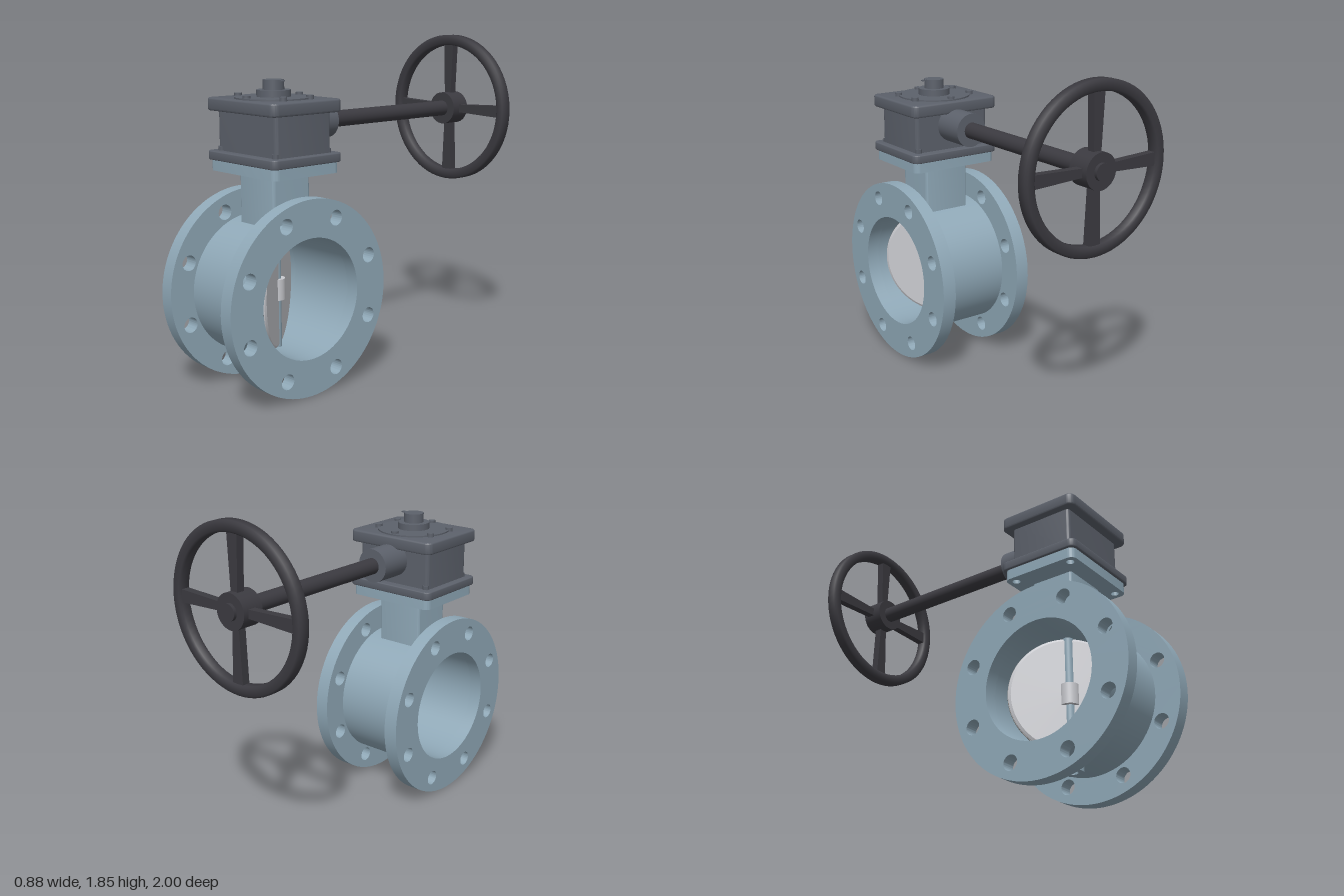
import * as THREE from 'three';
import { toCreasedNormals } from 'three/addons/utils/BufferGeometryUtils.js';

const CY = 0.53, CZ = 0.4725;   // pipe axis
const WY = 1.415;               // handwheel axis height

const material = (name, color) => {
  const m = new THREE.MeshStandardMaterial({ color });
  m.name = name;
  return m;
};

export function createModel() {
  const blue = material('blueGreyPaint', 0x8fa8b7);
  const grey = material('gearboxGrey', 0x5c616b);
  const black = material('handwheelBlack', 0x3b3a40);
  const silver = material('discSilver', 0xc9cacf);
  const rubber = material('sealGrey', 0x8c8a88);
  const model = new THREE.Group();
  model.name = 'butterflyValve';

  const add = (parent, name, geo, mat, x = 0, y = 0, z = 0) => {
    const mesh = new THREE.Mesh(geo, mat);
    mesh.name = name;
    mesh.position.set(x, y, z);
    parent.add(mesh);
    return mesh;
  };
  const circle = (x, y, r) => new THREE.Path().absarc(x, y, r, 0, Math.PI * 2, true);
  // Annulus with holes, extruded along z and centred
  const ring = (ro, ri, depth, holes = []) => {
    const s = new THREE.Shape().absarc(0, 0, ro, 0, Math.PI * 2, false);
    s.holes.push(circle(0, 0, ri), ...holes);
    const g = new THREE.ExtrudeGeometry(s, { depth, bevelEnabled: false, curveSegments: 48 });
    return toCreasedNormals(g.translate(0, 0, -depth / 2), 0.6);
  };
  // Rounded rectangular plate lying flat, from y0 to y1
  const plate = (hx, hz, y0, y1, r, bevel = 0, holes = []) => {
    const a = hx - bevel, b = hz - bevel;
    const s = new THREE.Shape();
    s.moveTo(-a + r, -b);
    s.lineTo(a - r, -b).absarc(a - r, -b + r, r, -Math.PI / 2, 0);
    s.lineTo(a, b - r).absarc(a - r, b - r, r, 0, Math.PI / 2);
    s.lineTo(-a + r, b).absarc(-a + r, b - r, r, Math.PI / 2, Math.PI);
    s.lineTo(-a, -b + r).absarc(-a + r, -b + r, r, Math.PI, Math.PI * 1.5);
    s.holes.push(...holes);
    const g = new THREE.ExtrudeGeometry(s, {
      depth: y1 - y0 - 2 * bevel, bevelEnabled: bevel > 0, bevelSize: bevel,
      bevelThickness: bevel, bevelSegments: 3, curveSegments: 8
    });
    return toCreasedNormals(g.rotateX(-Math.PI / 2).translate(0, y0 + bevel, 0), 0.6);
  };
  const cylY = (r, y0, y1, seg = 40) =>
    new THREE.CylinderGeometry(r, r, y1 - y0, seg).translate(0, (y0 + y1) / 2, 0);
  const cylZ = (r, z0, z1) =>
    new THREE.CylinderGeometry(r, r, z1 - z0, 40).rotateX(Math.PI / 2).translate(0, 0, (z0 + z1) / 2);

  // Pipe body and drilled flanges
  const body = new THREE.Group();
  body.name = 'valveBody';
  body.position.set(0, CY, CZ);
  model.add(body);
  add(body, 'barrel', ring(0.385, 0.325, 0.44).rotateY(Math.PI / 2), blue);
  const boltHoles = [];
  for (let i = 0; i < 8; i++) {
    const a = (i + 0.5) * Math.PI / 4;
    boltHoles.push(circle(0.443 * Math.cos(a), 0.443 * Math.sin(a), 0.042));
  }
  for (const s of [-1, 1])
    add(body, 'pipeFlange', ring(0.529, 0.325, 0.08, boltHoles).rotateY(Math.PI / 2), blue, s * 0.255);
  add(body, 'bottomBoss', ring(0.062, 0.032, 0.06).rotateX(Math.PI / 2), blue, 0, -0.39, 0);

  // Turning disc, partly open, on its stem
  const disc = new THREE.Group();
  disc.name = 'disc';
  disc.rotation.y = 0.66;
  body.add(disc);
  const discProfile = [[0, -0.02], [0.308, -0.02], [0.322, -0.012], [0.322, 0.012], [0.308, 0.02], [0, 0.02]]
    .map(p => new THREE.Vector2(...p));
  add(disc, 'discPlate', toCreasedNormals(new THREE.LatheGeometry(discProfile, 72), 0.4).rotateZ(-Math.PI / 2), silver);
  add(disc, 'discSeal', ring(0.3245, 0.315, 0.012).rotateY(Math.PI / 2), rubber);
  add(disc, 'discHub', cylY(0.05, -0.058, 0.058), silver);
  add(disc, 'stem', cylY(0.029, -0.4, 0.36), blue);

  // Neck and mounting plate
  const top = new THREE.Group();
  top.name = 'topAssembly';
  top.position.z = CZ;
  model.add(top);
  add(top, 'neck', plate(0.14, 0.125, 0.875, 1.17, 0.015), blue);
  const corners = [[-1, -1], [1, -1], [1, 1], [-1, 1]].map(([x, z]) => [x * 0.222, z * 0.175]);
  add(top, 'mountingPlate',
    plate(0.268, 0.222, 1.17, 1.228, 0.035, 0, corners.map(([x, z]) => circle(x, z, 0.022))), blue);

  // Gearbox
  add(top, 'gearboxBase', plate(0.282, 0.235, 1.228, 1.276, 0.03, 0.006), grey);
  add(top, 'gearboxHousing', plate(0.24, 0.185, 1.27, 1.5, 0.02), grey);
  add(top, 'gearboxCover', plate(0.282, 0.235, 1.488, 1.556, 0.03, 0.01), grey);
  for (const [x, z] of corners) add(top, 'baseBolt', cylY(0.02, 1.27, 1.298, 6), grey, x, 0, z);
  add(top, 'indicatorDisc', cylY(0.206, 1.55, 1.564, 64), grey);
  for (const [x, z] of [[0.185, 0.09], [0.185, -0.09], [-0.185, 0.09], [-0.185, -0.09], [0, 0.178], [0, -0.178]])
    add(top, 'coverBolt', cylY(0.02, 1.55, 1.577, 20), grey, x, 0, z);
  add(top, 'stemCollar', cylY(0.09, 1.56, 1.6), grey);
  add(top, 'stemTop', cylY(0.056, 1.59, 1.652), grey);
  add(top, 'stemKey', new THREE.BoxGeometry(0.035, 0.006, 0.02), grey, 0.065, 1.648, 0);

  // Worm housing and drive shaft
  const drive = new THREE.Group();
  drive.name = 'drive';
  drive.position.y = WY;
  model.add(drive);
  add(drive, 'wormHousing', cylZ(0.095, 0.095, 0.32), grey);
  add(drive, 'driveShaft', cylZ(0.045, -1.0, 0.12), black);

  // Handwheel: hub, rounded rim, four spokes widening towards the rim
  const wheel = new THREE.Group();
  wheel.name = 'handwheel';
  wheel.position.set(0, WY, -0.93);
  model.add(wheel);
  add(wheel, 'wheelHub', cylZ(0.095, -0.052, 0.072), black);
  const rim = [[0.38, -0.024], [0.39, -0.034], [0.43, -0.034], [0.44, -0.024], [0.44, 0.024],
    [0.43, 0.034], [0.39, 0.034], [0.38, 0.024], [0.38, -0.024]].map(p => new THREE.Vector2(...p));
  add(wheel, 'wheelRim',
    toCreasedNormals(new THREE.LatheGeometry(rim, 72), 0.9).rotateX(Math.PI / 2), black);
  const spoke = new THREE.Shape([[0.07, -0.022], [0.39, -0.035], [0.39, 0.035], [0.07, 0.022]]
    .map(p => new THREE.Vector2(...p)));
  for (let i = 0; i < 4; i++) {
    const g = new THREE.ExtrudeGeometry(spoke, { depth: 0.044, bevelEnabled: false });
    add(wheel, 'wheelSpoke', g.translate(0, 0, -0.022).rotateZ(i * Math.PI / 2), black);
  }
  return model;
}
